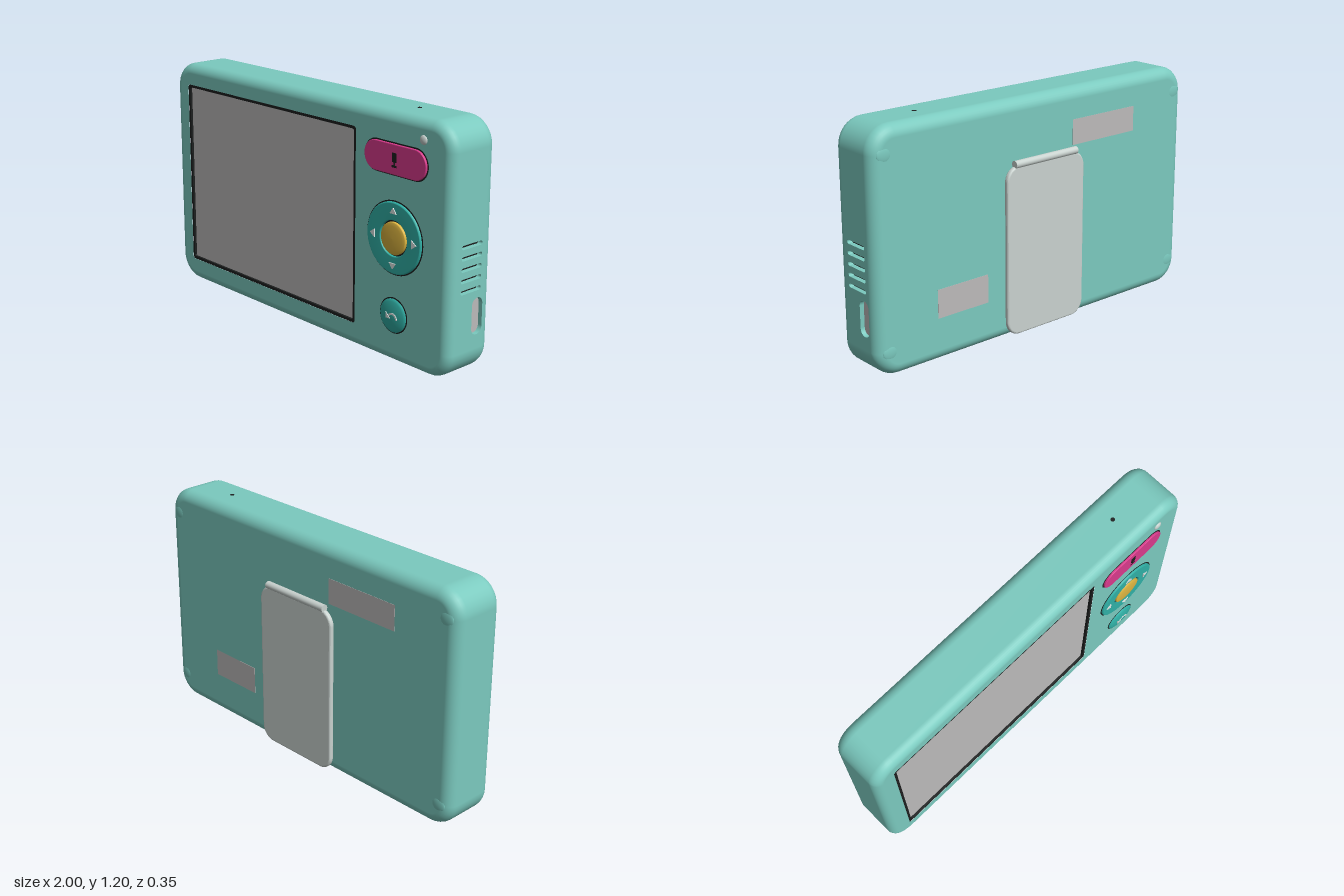
import * as THREE from 'three';

const mat = (name, color) => Object.assign(new THREE.MeshStandardMaterial({ color }), { name });

// Rounded rectangle centred on (cx, cy)
function roundRect(w, h, r, cx = 0, cy = 0, Type = THREE.Shape) {
  const p = new Type(), x = w / 2 - r, y = h / 2 - r;
  p.absarc(cx + x, cy + y, r, 0, Math.PI / 2);
  p.absarc(cx - x, cy + y, r, Math.PI / 2, Math.PI);
  p.absarc(cx - x, cy - y, r, Math.PI, Math.PI * 1.5);
  p.absarc(cx + x, cy - y, r, Math.PI * 1.5, Math.PI * 2);
  p.closePath();
  return p;
}

const polygon = (pts) => new THREE.Shape(pts.map(([x, y]) => new THREE.Vector2(x, y)));

// Extruded plate whose back sits at z; bevel stays inside the outline
function plate(shape, depth, z = 0, bevel = 0) {
  const g = new THREE.ExtrudeGeometry(shape, {
    depth: depth - 2 * bevel, curveSegments: 16, bevelEnabled: bevel > 0,
    bevelSize: bevel, bevelThickness: bevel, bevelOffset: -bevel, bevelSegments: 4,
  });
  return g.translate(0, 0, z + bevel);
}

// Turned part facing +z
const turned = (pts) => new THREE.LatheGeometry(pts.map(([x, y]) => new THREE.Vector2(x, y)), 48).rotateX(Math.PI / 2);

const R = 0.13, RF = 0.05, RB = 0.06, ZF = 0.155, ZB = -0.13, N = 8;

// Shell walls: rounded outline swept through the front and back edge roundings,
// leaving the flat of the +x side open for the pierced panel
function shellWalls() {
  const pos = [], nor = [], idx = [], count = 4 * (N + 1);
  for (let i = 0; i <= 2 * N + 1; i++) {
    const front = i <= N;
    const a = front ? (1 - i / N) * Math.PI / 2 : -((i - N - 1) / N) * Math.PI / 2;
    const c = Math.cos(a), s = Math.sin(a);
    const r = R - (front ? RF : RB) * (1 - c);
    const z = front ? ZF - RF * (1 - s) : ZB + RB * (1 + s);
    for (let k = 0; k < 4; k++) {
      const cx = (k === 0 || k === 3 ? 1 : -1) * (1 - R), cy = 0.6 + (k < 2 ? 1 : -1) * (0.6 - R);
      for (let j = 0; j <= N; j++) {
        const t = (k + j / N) * Math.PI / 2;
        pos.push(cx + r * Math.cos(t), cy + r * Math.sin(t), z);
        nor.push(c * Math.cos(t), c * Math.sin(t), s);
      }
    }
  }
  for (let i = 0; i <= 2 * N; i++) for (let j = 0; j < count; j++) {
    if (i === N && j === count - 1) continue;
    const a = i * count + j, b = i * count + (j + 1) % count;
    idx.push(a, a + count, b, b, a + count, b + count);
  }
  const g = new THREE.BufferGeometry();
  g.setAttribute('position', new THREE.Float32BufferAttribute(pos, 3));
  g.setAttribute('normal', new THREE.Float32BufferAttribute(nor, 3));
  g.setIndex(idx);
  return g;
}

export function createModel() {
  const shellMat = mat('mint shell', 0x7bcabf);
  const tealMat = mat('teal buttons', 0x30b0a6);
  const pinkMat = mat('pink button', 0xd93a8c);
  const yellowMat = mat('yellow button', 0xdcb440);
  const blackMat = mat('black gaps', 0x1c1e1e);
  const greyMat = mat('grey panels', 0xbcbaba);
  const standMat = mat('stand grey', 0xc9d2cf);
  const iconMat = mat('pale icons', 0xdde5e3);

  const root = new THREE.Group();
  root.name = 'camera';
  const add = (name, geo, material, x = 0, y = 0, z = 0) => {
    const m = new THREE.Mesh(geo, material);
    m.name = name;
    m.position.set(x, y, z);
    root.add(m);
    return m;
  };

  // Shell
  add('shellWalls', shellWalls(), shellMat);
  const face = roundRect(2 - 2 * RF, 1.2 - 2 * RF, R - RF, 0, 0.6);
  face.holes.push(roundRect(1.285, 0.97, 0.015, -0.2475, 0.605, THREE.Path));
  add('shellFront', new THREE.ShapeGeometry(face, N), shellMat, 0, 0, ZF);
  const back = new THREE.ShapeGeometry(roundRect(2 - 2 * RB, 1.2 - 2 * RB, R - RB), N);
  add('shellBack', back.rotateY(Math.PI), shellMat, 0, 0.6, ZB);

  // Recessed screen
  const frame = roundRect(1.285, 0.97, 0.015, -0.2475, 0.605);
  frame.holes.push(roundRect(1.257, 0.942, 0.01, -0.2475, 0.605, THREE.Path));
  add('screenFrame', plate(frame, 0.02, 0.134), blackMat);
  add('screen', new THREE.BoxGeometry(1.265, 0.95, 0.006), greyMat, -0.2475, 0.605, 0.139);

  // Side panel with speaker slots and port opening (drawn with u = -z)
  const uA = -(ZF - RF), uB = -(ZB + RB);
  const side = polygon([[uA, R], [uB, R], [uB, 1.2 - R], [uA, 1.2 - R]]);
  for (let i = 0; i < 5; i++)
    side.holes.push(roundRect(0.134, 0.02, 0.0098, -0.015, 0.422 + i * 0.0532, THREE.Path));
  side.holes.push(roundRect(0.07, 0.178, 0.034, 0.032, 0.287, THREE.Path));
  add('sidePanel', plate(side, 0.03).rotateY(Math.PI / 2), shellMat, 0.97);
  add('speakerBacking', new THREE.BoxGeometry(0.006, 0.28, 0.16), blackMat, 0.972, 0.53, 0.015);
  add('portGap', new THREE.BoxGeometry(0.004, 0.182, 0.074), blackMat, 0.968, 0.287, -0.032);
  add('port', plate(roundRect(0.064, 0.172, 0.031), 0.012).rotateY(Math.PI / 2), greyMat, 0.968, 0.287, -0.033);

  // Record button with microphone mark
  const bx = 0.657;
  add('recordGap', plate(roundRect(0.4, 0.154, 0.077), 0.002), blackMat, bx, 0.985, 0.1545);
  add('recordButton', plate(roundRect(0.388, 0.142, 0.071), 0.013, 0, 0.004), pinkMat, bx, 0.985, 0.154);
  add('micMark', plate(roundRect(0.028, 0.044, 0.004), 0.002), blackMat, bx, 0.995, 0.1665);
  add('micStem', new THREE.BoxGeometry(0.008, 0.02, 0.002), blackMat, bx, 0.965, 0.1675);
  add('micFoot', new THREE.BoxGeometry(0.03, 0.01, 0.002), blackMat, bx, 0.954, 0.1675);

  // Direction pad
  const py = 0.615;
  add('padGap', turned([[0.178, 0], [0.178, 0.002], [0, 0.002]]), blackMat, bx, py, 0.1545);
  add('directionPad', turned([[0.172, 0], [0.172, 0.007], [0.168, 0.011], [0.165, 0.012], [0.09, 0.012],
    [0.086, 0.01], [0.085, 0]]), tealMat, bx, py, ZF);
  add('centreButton', turned([[0.078, 0], [0.078, 0.012], [0.075, 0.015], [0.06, 0.0175], [0.03, 0.0195],
    [0, 0.02]]), yellowMat, bx, py, ZF);
  for (let i = 0; i < 4; i++) {
    const arrow = add('padArrow', plate(polygon([[-0.021, 0.118], [0.021, 0.118], [0, 0.147]]), 0.006),
      iconMat, bx, py, 0.1655);
    arrow.rotation.z = i * Math.PI / 2;
  }

  // Return button with curved arrow
  const ry = 0.238;
  add('returnGap', turned([[0.088, 0], [0.088, 0.002], [0, 0.002]]), blackMat, bx, ry, 0.1545);
  add('returnButton', turned([[0.082, 0], [0.082, 0.006], [0.07, 0.0105], [0.05, 0.0145], [0.025, 0.017],
    [0, 0.018]]), tealMat, bx, ry, ZF);
  const arc = new THREE.Shape();
  arc.absarc(0.008, -0.012, 0.03, 0, Math.PI * 0.8);
  arc.absarc(0.008, -0.012, 0.021, Math.PI * 0.8, 0, true);
  add('returnArc', plate(arc, 0.008), iconMat, bx, ry, 0.167);
  add('returnArrow', plate(polygon([[-0.034, 0.016], [-0.034, -0.014], [-0.004, -0.012]]), 0.008),
    iconMat, bx, ry, 0.167);

  // Indicator light and microphone hole
  const led = add('indicatorLight', new THREE.SphereGeometry(0.022, 24, 16), standMat, 0.823, 1.105, ZF);
  led.scale.z = 0.45;
  add('microphoneHole', new THREE.CylinderGeometry(0.011, 0.011, 0.004, 20), blackMat, bx, 1.199, 0.01);

  // Back corner plugs
  for (const x of [-0.925, 0.925]) for (const y of [0.13, 1.07]) {
    const plug = add('cornerPlug', new THREE.SphereGeometry(0.043, 28, 14), shellMat, x, y, -0.122);
    plug.scale.z = 0.25;
  }

  // Back labels
  add('upperLabel', new THREE.BoxGeometry(0.425, 0.13, 0.003), greyMat, -0.415, 0.975, ZB);
  add('lowerLabel', new THREE.BoxGeometry(0.305, 0.145, 0.003), greyMat, 0.5, 0.295, ZB);

  // Kickstand with hinge barrel
  add('kickstand', plate(roundRect(0.5, 0.865, 0.075), 0.027, 0, 0.01), standMat, 0, 0.4525, -0.166);
  add('hingeBarrel', new THREE.CylinderGeometry(0.019, 0.019, 0.4, 24).rotateZ(Math.PI / 2),
    standMat, 0, 0.892, -0.157);
  return root;
}
